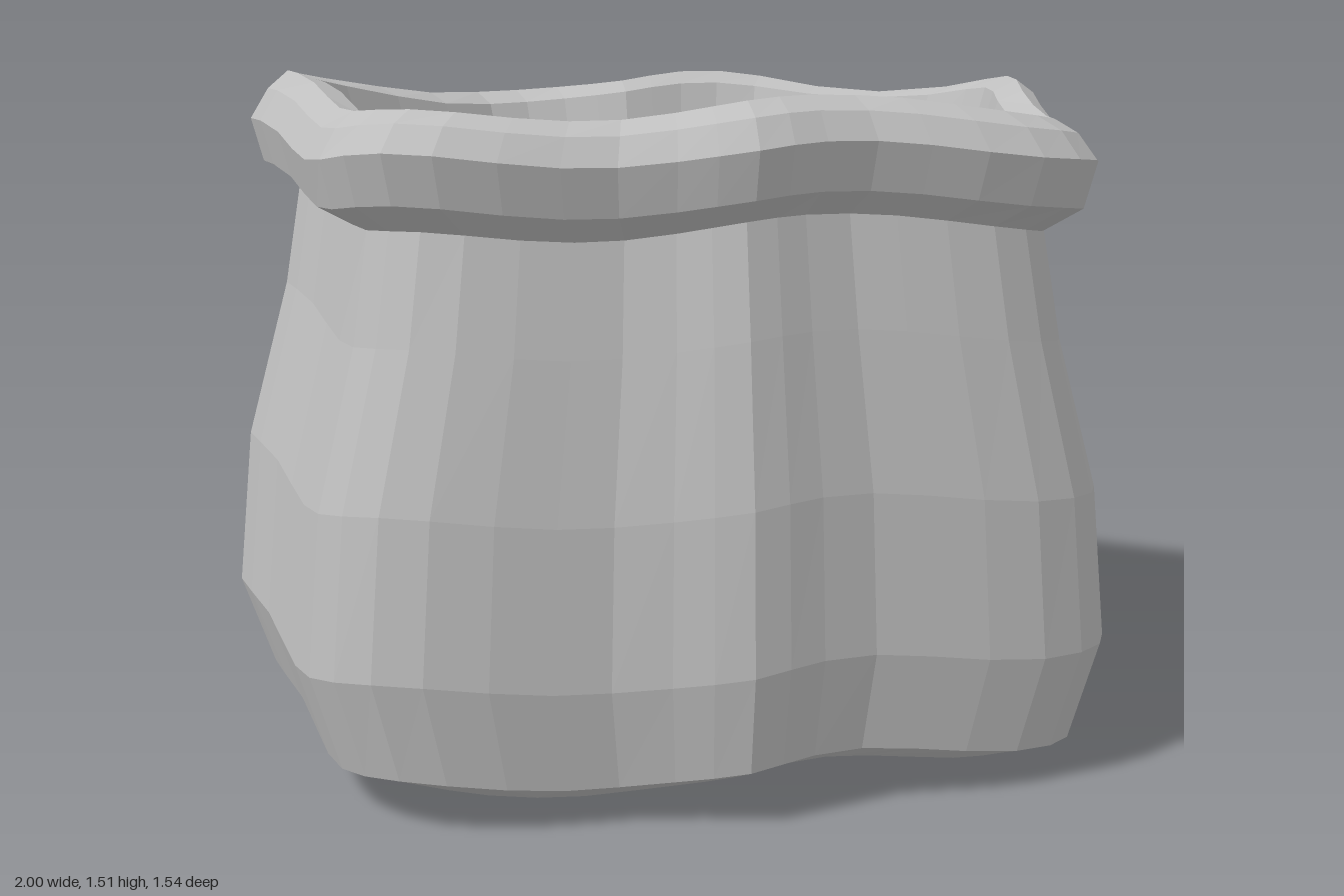
import * as THREE from 'three';

// Half of the lobed outline at its widest, from front tip to back notch: [x, z]
const HALF = [
  [0, 0.77], [0.08, 0.75], [0.16, 0.72], [0.28, 0.69], [0.4, 0.69], [0.53, 0.69], [0.66, 0.675],
  [0.76, 0.635], [0.83, 0.57], [0.875, 0.48], [0.9, 0.36], [0.92, 0.22], [0.945, 0.08],
  [0.98, -0.05], [1.0, -0.17], [0.98, -0.28], [0.9, -0.4], [0.74, -0.53], [0.58, -0.64],
  [0.43, -0.745], [0.31, -0.772], [0.19, -0.765], [0.09, -0.74], [0, -0.72],
];
const OUTLINE = [...HALF, ...HALF.slice(1, -1).reverse().map(([x, z]) => [-x, z])];

// Gentle rise and fall of the cloth, rippling along both x and z
const wave = (x, z) =>
  0.022 * Math.cos(Math.PI * 2 * (x - 0.2)) + 0.027 * Math.cos(Math.PI * 2 * (z + 0.1) / 0.9);

// Skin between scaled copies of the outline; each level is [scaleX, scaleZ, y]
function skin(levels) {
  const n = OUTLINE.length;
  const positions = [];
  const index = [];
  for (const [sx, sz, y] of levels) {
    for (const [ox, oz] of OUTLINE) {
      const x = ox * sx;
      const z = oz * sz;
      positions.push(x, y + wave(x, z), z);
    }
  }
  for (let r = 0; r < levels.length - 1; r++) {
    for (let i = 0; i < n; i++) {
      const a = r * n + i;
      const b = r * n + (i + 1) % n;
      if (levels[r][0] > 0) index.push(a, b, b + n);
      index.push(a, b + n, a + n);
    }
  }
  const geometry = new THREE.BufferGeometry();
  geometry.setAttribute('position', new THREE.Float32BufferAttribute(positions, 3));
  geometry.setIndex(index);
  geometry.computeVertexNormals();
  return geometry;
}

export function createModel() {
  const group = new THREE.Group();
  group.name = 'openSack';
  const cloth = new THREE.MeshStandardMaterial({ color: 0xbfbfbf, flatShading: true });
  cloth.name = 'grey cloth';

  const add = (name, geometry) => {
    const mesh = new THREE.Mesh(geometry, cloth);
    mesh.name = name;
    group.add(mesh);
    return mesh;
  };

  // Flat underside with its bevel
  add('base', skin([[0, 0, 0.03], [0.78, 0.78, 0.05], [0.93, 0.96, 0.093]]));

  // Bulging sides narrowing to the neck
  add('body', skin([
    [0.93, 0.96, 0.093], [1, 1, 0.305], [0.965, 0.98, 0.65], [0.87, 0.92, 0.99], [0.83, 0.87, 1.228],
  ]));

  // Thick rolled lip
  add('rim', skin([
    [0.83, 0.87, 1.228], [0.91, 0.965, 1.27], [0.935, 1, 1.368],
    [0.895, 0.95, 1.43], [0.85, 0.87, 1.466], [0.79, 0.8, 1.445],
  ]));

  // Inner wall running down behind the filling
  add('lining', skin([[0.79, 0.8, 1.445], [0.755, 0.755, 1.33], [0.7, 0.7, 1.05]]));

  // Domed filling
  const filling = add('filling', new THREE.SphereGeometry(1, 40, 14, 0, Math.PI * 2, 0, Math.PI / 2));
  filling.scale.set(0.78, 0.26, 0.64);
  filling.position.y = 1.1;

  return group;
}
